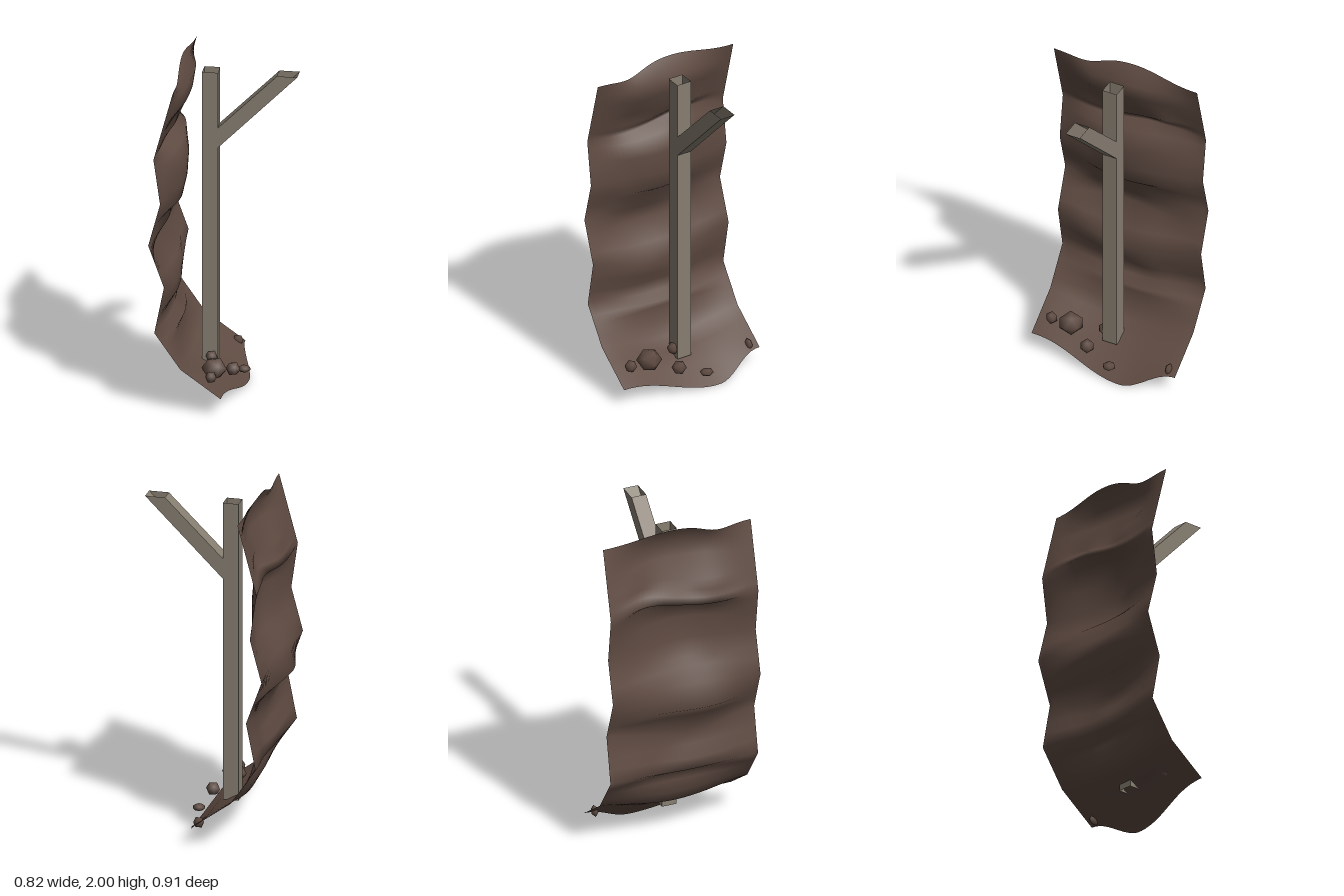
import * as THREE from 'three';
import { mergeVertices } from 'three/addons/utils/BufferGeometryUtils.js';

const HALF = 0.456;

// Zigzag outline of both side edges of the cliff: [y, x]
const EDGE = [
  [1.955, -0.235], [1.545, -0.345], [1.275, -0.307], [1.02, -0.375],
  [0.77, -0.285], [0.49, -0.34], [0.275, -0.19], [0.11, 0.04],
];

// Cliff rows from top to bottom: [edge y, middle y, middle x, z of the bulge's peak]
const ROWS = [
  [1.955, 2.0, -0.255, -0.04],
  [1.87, 1.9, -0.185, -0.03],
  [1.78, 1.8, -0.2, -0.03],
  [1.69, 1.68, -0.262, -0.05],
  [1.63, 1.62, -0.275, -0.08],
  [1.59, 1.585, -0.315, -0.05],
  [1.545, 1.55, -0.34, -0.05],
  [1.5, 1.525, -0.24, -0.03],
  [1.4, 1.41, -0.215, 0.02],
  [1.275, 1.27, -0.225, 0.03],
  [1.18, 1.16, -0.25, 0.02],
  [1.11, 1.125, -0.3, 0.02],
  [1.02, 1.02, -0.335, 0.05],
  [0.9, 0.9, -0.41, 0.1],
  [0.83, 0.8, -0.295, 0.1],
  [0.77, 0.68, -0.266, 0.05],
  [0.65, 0.6, -0.27, 0.03],
  [0.57, 0.53, -0.315, 0.1],
  [0.49, 0.46, -0.31, 0.05],
  [0.43, 0.425, -0.245, -0.02],
  [0.38, 0.385, -0.26, -0.05],
  [0.33, 0.29, -0.238, 0],
  [0.275, 0.215, -0.195, 0],
  [0.22, 0.17, -0.1, -0.03],
  [0.165, 0.105, 0.005, -0.1],
  [0.11, 0.0, 0.113, -0.14],
];

// Local swellings and hollows of the rock: [y, z, radius y, radius z, push in x]
const LUMPS = [
  [1.8, 0.2, 0.07, 0.12, 0.015],
  [1.66, 0.18, 0.06, 0.12, -0.025],
  [1.6, -0.22, 0.06, 0.1, 0.025],
  [1.32, 0.22, 0.07, 0.1, -0.02],
  [0.97, -0.05, 0.06, 0.15, 0.02],
  [0.81, -0.08, 0.06, 0.15, 0.02],
  [0.52, -0.15, 0.06, 0.12, 0.02],
];

const bell = (d, r) => Math.exp(-((d / r) ** 2));

function edgeX(y) {
  const k = Math.max(1, EDGE.findIndex(([ey]) => ey <= y));
  const [y0, x0] = EDGE[k - 1], [y1, x1] = EDGE[k];
  return THREE.MathUtils.mapLinear(y, y0, y1, x0, x1);
}

function mesh(name, geometry, material) {
  const m = new THREE.Mesh(geometry, material);
  m.name = name;
  return m;
}

// Rock face: each row blends from the zigzag side edges into the bulging middle
function cliffGeometry() {
  const cols = 30, last = ROWS.length - 1, pos = [], index = [];
  ROWS.forEach(([ye, ym, xm, centre], i) => {
    const xe = edgeX(ye);
    const sharp = i === 0 || i === last ? 2.2 : 1.4;
    for (let j = 0; j <= cols; j++) {
      const z = HALF - (2 * HALF * j) / cols;
      const u = (z - centre) / (z > centre ? HALF - centre : HALF + centre);
      const w = Math.max(0, Math.cos((u * Math.PI) / 2)) ** sharp;
      let x = xe + (xm - xe) * w;
      let y = ye + (ym - ye) * w;
      for (const [ly, lz, ry, rz, push] of LUMPS) {
        x += push * bell(y - ly, ry) * bell(z - lz, rz);
      }
      // the upper ledges climb towards the back, and the top rim has a dip
      y -= 0.22 * z * w * bell(ym - 1.6, 0.14);
      y -= 0.035 * bell(z - 0.24, 0.12) * bell(ym - 2, 0.1);
      pos.push(x, y, z);
      if (i < last && j < cols) {
        const a = i * (cols + 1) + j, b = a + cols + 1;
        index.push(a, b, b + 1, a, b + 1, a + 1);
      }
    }
  });
  const g = new THREE.BufferGeometry();
  g.setAttribute('position', new THREE.Float32BufferAttribute(pos, 3));
  g.setIndex(index);
  g.computeVertexNormals();
  return g;
}

// Open-ended square beam between two end lines, each given as [x, y] pairs
function beamGeometry([l0, r0], [l1, r1], halfDepth) {
  const ring = (l, r) => [
    [...l, halfDepth], [...r, halfDepth], [...r, -halfDepth], [...l, -halfDepth],
  ];
  const lo = ring(l0, r0), hi = ring(l1, r1), pos = [];
  for (let k = 0; k < 4; k++) {
    const n = (k + 1) % 4;
    pos.push(...lo[k], ...lo[n], ...hi[n], ...lo[k], ...hi[n], ...hi[k]);
  }
  const g = new THREE.BufferGeometry();
  g.setAttribute('position', new THREE.Float32BufferAttribute(pos, 3));
  g.computeVertexNormals();
  return g;
}

// Low-sided boulder with smooth shading
function boulderGeometry() {
  const g = new THREE.IcosahedronGeometry(1, 0);
  g.deleteAttribute('normal');
  g.deleteAttribute('uv');
  const merged = mergeVertices(g);
  merged.computeVertexNormals();
  return merged;
}

export function createModel() {
  const rock = new THREE.MeshStandardMaterial({ color: 0x5f4b42, side: THREE.DoubleSide });
  rock.name = 'brown rock';
  const timber = new THREE.MeshStandardMaterial({ color: 0x877e71, side: THREE.DoubleSide });
  timber.name = 'grey timber';

  const model = new THREE.Group();
  model.name = 'cliffSupport';
  model.add(mesh('cliffFace', cliffGeometry(), rock));

  // Post and the slanting brace that grows out of its side
  model.add(mesh('post', beamGeometry(
    [[-0.13, 0.147], [-0.04, 0.147]], [[-0.13, 1.932], [-0.04, 1.932]], 0.045), timber));
  model.add(mesh('brace', beamGeometry(
    [[-0.04, 1.595], [-0.04, 1.475]], [[0.3, 1.932], [0.416, 1.932]], 0.045), timber));

  // Boulders at the foot: [x, y, z, radius x, radius y, radius z, turn]
  const boulder = boulderGeometry();
  [
    [-0.03, 0.21, 0.242, 0.073, 0.066, 0.076, 0.5],
    [-0.075, 0.205, 0.052, 0.036, 0.036, 0.036, 0.3],
    [0.055, 0.155, 0.095, 0.043, 0.042, 0.044, 0.4],
    [0.095, 0.095, -0.065, 0.04, 0.022, 0.04, 0.3],
    [-0.03, 0.205, 0.365, 0.035, 0.037, 0.036, 0.2],
    [0.007, 0.13, -0.402, 0.034, 0.035, 0.02, 0],
  ].forEach(([x, y, z, rx, ry, rz, turn], i) => {
    const b = mesh('boulder' + (i + 1), boulder, rock);
    b.position.set(x, y, z);
    b.scale.set(rx, ry, rz);
    b.rotation.y = turn;
    model.add(b);
  });
  return model;
}
